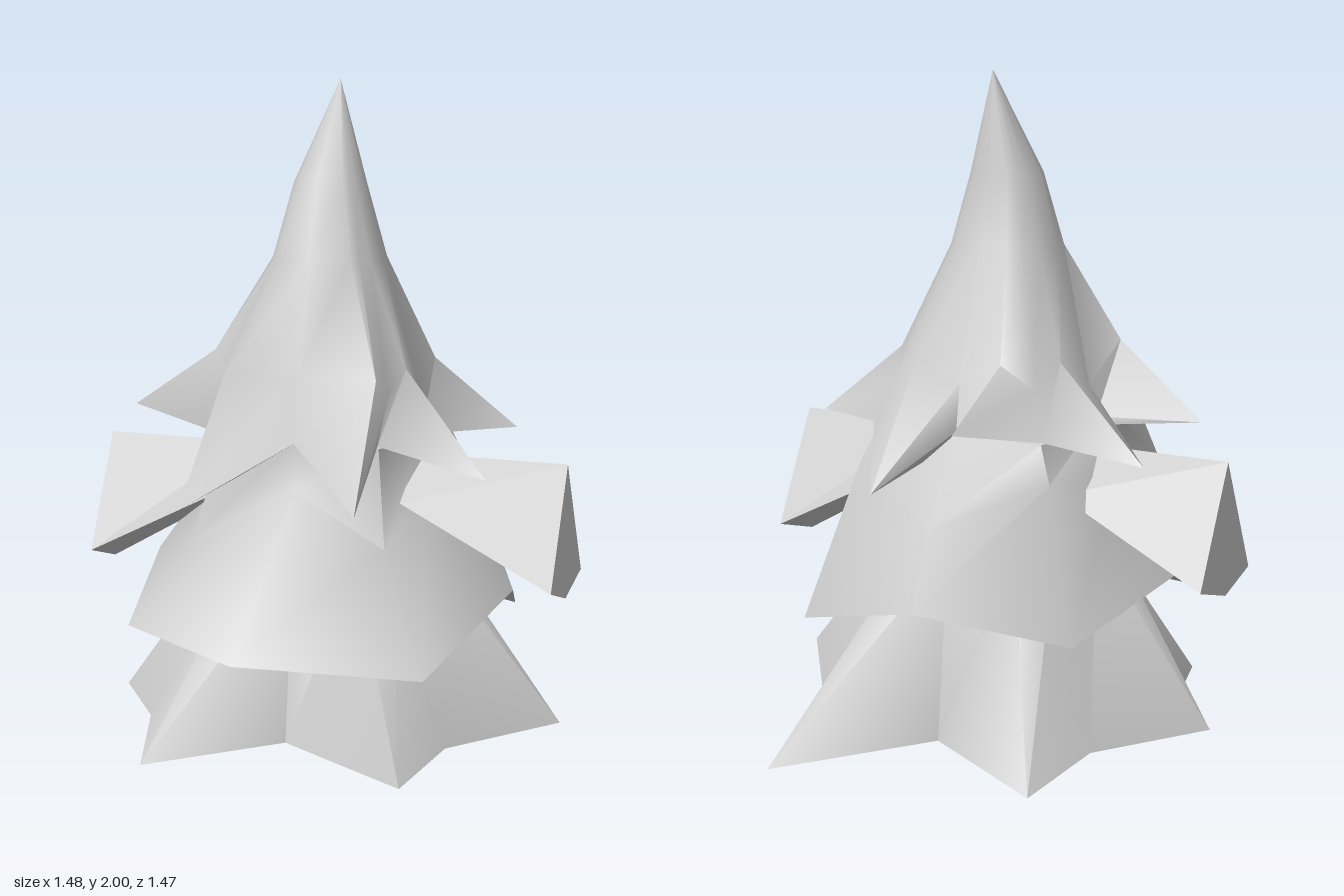
import * as THREE from 'three';
import { toCreasedNormals } from 'three/addons/utils/BufferGeometryUtils.js';

const v = (x, y, z) => new THREE.Vector3(x, y, z);
const material = new THREE.MeshStandardMaterial({ color: 0xcccccc, side: THREE.DoubleSide });

// Skin a stack of rings (lowest first, running from the front towards +x) and close both ends
function loft(name, rings, bottom, top, crease = 1.1) {
  const pos = [];
  const tri = (...pts) => pts.forEach((p) => pos.push(p.x, p.y, p.z));
  const n = rings[0].length;
  const last = rings[rings.length - 1];
  for (let i = 0; i < n; i++) {
    const j = (i + 1) % n;
    for (let k = 0; k + 1 < rings.length; k++) {
      const a = rings[k], b = rings[k + 1];
      tri(a[i], a[j], b[j]);
      tri(a[i], b[j], b[i]);
    }
    tri(rings[0][j], rings[0][i], bottom);
    tri(last[i], last[j], top);
  }
  const geometry = new THREE.BufferGeometry();
  geometry.setAttribute('position', new THREE.Float32BufferAttribute(pos, 3));
  const mesh = new THREE.Mesh(toCreasedNormals(geometry, crease), material);
  mesh.name = name;
  return mesh;
}

// Move a rim point to a given radius and height, keeping its direction
function pull(p, radius, y, zShift = 0) {
  const s = radius / Math.hypot(p.x, p.z);
  return v(p.x * s, y, p.z * s + zShift);
}

// Alternate valleys and tips into one star outline
const star = (valleys, tips) => valleys.flatMap((p, i) => [p, tips[i]]);

// Six-pointed lowest skirt
function lowerBranches() {
  const valleys = [v(0, 0.08, 0.38), v(0.48, 0.11, 0.34), v(0.46, 0.08, -0.32),
    v(0, 0.04, -0.38), v(-0.46, 0.06, -0.28), v(-0.47, 0.09, 0.32)];
  const tips = [v(0.48, 0.12, 0.73), v(0.73, 0.12, 0.02), v(0.36, 0, -0.74),
    v(-0.4, 0, -0.54), v(-0.7, 0.08, 0.02), v(-0.36, 0.04, 0.61)];
  const rim = star(valleys, tips);
  const neck = rim.map((p) => pull(p, 0.32, 0.6));
  return loft('lowerBranches', [rim, neck], v(0, 0.07, 0), v(0, 0.62, 0));
}

// Eight-sided middle skirt, with a steep collar reaching under the crown
function middleBranches() {
  const rim = [v(-0.04, 0.39, 0.68), v(0.47, 0.355, 0.51), v(0.58, 0.51, 0.02), v(0.46, 0.355, -0.41),
    v(0, 0.47, -0.52), v(-0.43, 0.39, -0.34), v(-0.58, 0.54, 0.02), v(-0.5, 0.39, 0.4)];
  const shoulder = [v(0, 0.82, 0.31), v(0.27, 0.66, 0.28), v(0.33, 0.83, 0.02), v(0.32, 0.84, -0.3),
    v(0, 0.7, -0.43), v(-0.32, 0.84, -0.28), v(-0.37, 0.82, 0.02), v(-0.35, 0.63, 0.29)];
  const collar = [v(0, 0.96, 0.3), v(0.24, 0.95, 0.25), v(0.28, 0.95, 0.02), v(0.28, 0.95, -0.26),
    v(0, 0.95, -0.26), v(-0.28, 0.95, -0.26), v(-0.29, 0.95, 0.02), v(-0.24, 0.95, 0.25)];
  return loft('middleBranches', [rim, shoulder, collar], v(0, 0.56, 0), v(0, 0.97, 0));
}

// Pointed crown flaring out into eight spikes
function crown() {
  const valleys = [v(0, 0.96, 0.31), v(0.24, 0.96, 0.26), v(0.29, 0.96, 0.02), v(0.29, 0.96, -0.27),
    v(0, 0.96, -0.27), v(-0.29, 0.96, -0.27), v(-0.3, 0.96, 0.02), v(-0.24, 0.96, 0.26)];
  const tips = [v(0.26, 0.8, 0.5), v(0.56, 0.88, 0.24), v(0.52, 0.96, -0.2), v(0.15, 0.8, -0.5),
    v(-0.16, 1.02, -0.55), v(-0.6, 0.92, -0.24), v(-0.64, 1.0, 0.05), v(-0.3, 0.77, 0.46)];
  // Where the spikes leave the cone, and the hollows between them
  const hollows = [v(0, 1.15, 0.29), v(0.25, 1.1, 0.2), v(0.285, 1.08, 0.02), v(0.23, 1.1, -0.23),
    v(0, 1.1, -0.25), v(-0.24, 1.1, -0.23), v(-0.285, 1.08, 0.02), v(-0.26, 1.1, 0.22)];
  const roots = [v(0.235, 1.15, 0.26), v(0.28, 1.17, 0.13), v(0.28, 1.17, -0.13), v(0.14, 1.17, -0.26),
    v(-0.145, 1.17, -0.26), v(-0.27, 1.17, -0.13), v(-0.32, 1.2, 0.15), v(-0.24, 1.15, 0.26)];
  const rim = star(valleys, tips);
  const waist = star(hollows, roots);
  const chest = waist.map((p) => pull(p, 0.17, 1.48, 0.025));
  const neck = waist.map((p) => pull(p, 0.108, 1.7, 0.022));
  return loft('crown', [rim, waist, chest, neck], v(0, 0.97, 0), v(0, 2, -0.06));
}

// Kite-sectioned side branch: level along the ridge, its underside rising towards the trunk
function sideBranch(side) {
  const z = [0.02, 0.18, 0.02, -0.15];
  const section = (x, heights) => z.map((d, i) => v(side * x, heights[i], d));
  const outer = section(0.74, [0.9, 0.55, 0.5, 0.55]);
  const inner = section(0.28, [0.9, 0.78, 0.76, 0.78]);
  const ends = [v(side * 0.28, 0.8, 0.02), v(side * 0.74, 0.62, 0.02)];
  // Swap the ends on the mirrored side so faces keep pointing outwards
  return side > 0
    ? loft('leftSideBranch', [outer, inner], ends[1], ends[0], 0.3)
    : loft('rightSideBranch', [inner, outer], ends[0], ends[1], 0.3);
}

export function createModel() {
  const group = new THREE.Group();
  group.name = 'tree';
  group.add(lowerBranches(), middleBranches(), crown(), sideBranch(1), sideBranch(-1));
  return group;
}
